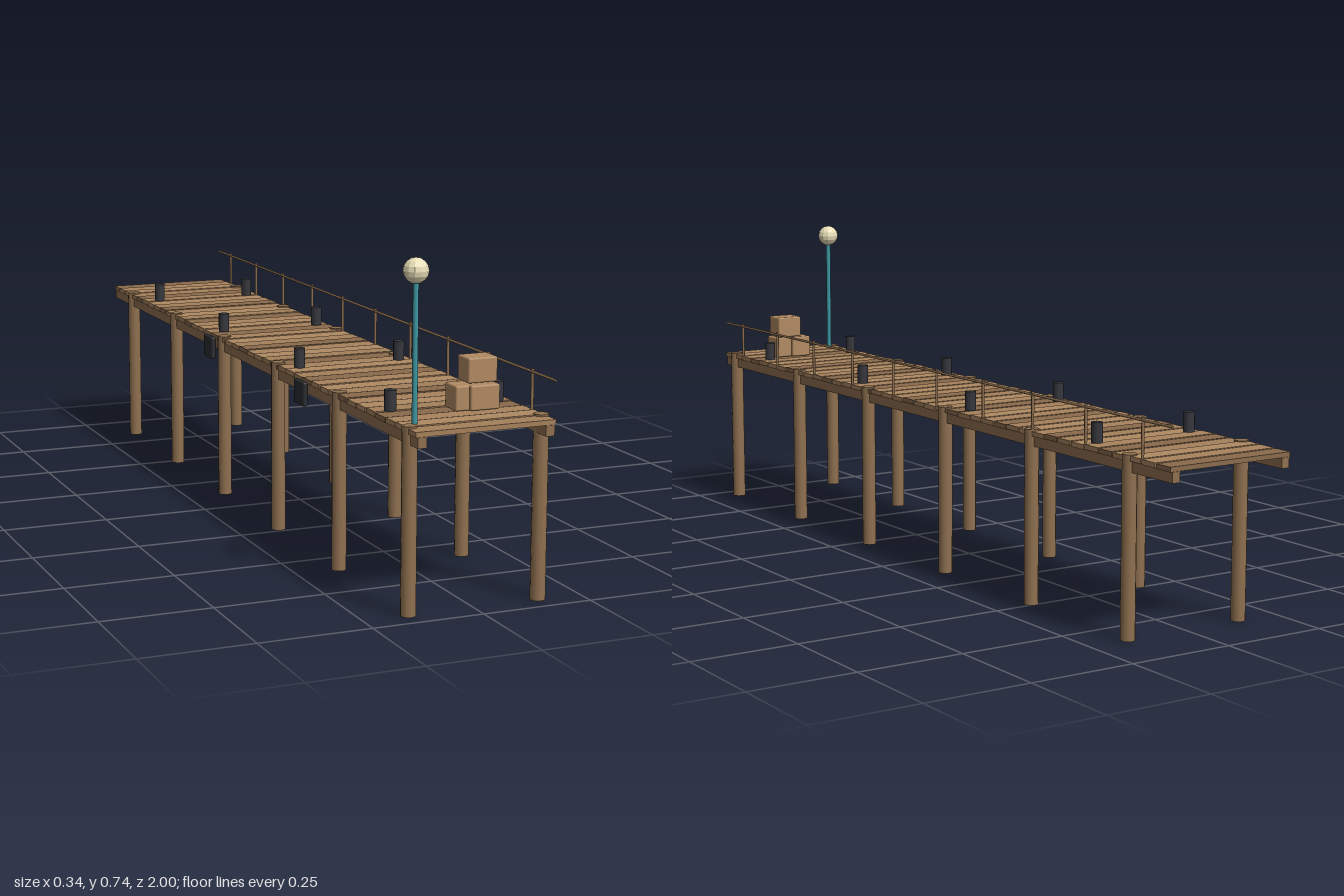
import * as THREE from 'three';
import { RoundedBoxGeometry } from 'three/addons/geometries/RoundedBoxGeometry.js';

const paint = (color, flatShading = false) => new THREE.MeshStandardMaterial({ color, flatShading });

export function createModel() {
  const pier = new THREE.Group();
  pier.name = 'pier';
  const plankMats = [0x8a6a4c, 0xa9845e, 0xb08a64, 0xa5815c].map((c) => paint(c));
  const wood = paint(0x8f7050);
  const crateWood = paint(0xb08a62);
  const iron = paint(0x36373d);
  const rubber = paint(0x2b2c30);
  const teal = paint(0x3f98a3);
  const glow = paint(0xeadfb8, true);

  const add = (name, geometry, material, x, y, z) => {
    const mesh = new THREE.Mesh(geometry, material);
    mesh.name = name;
    mesh.position.set(x, y, z);
    pier.add(mesh);
    return mesh;
  };

  // Deck planks, slightly uneven in height and tone
  const plank = new THREE.BoxGeometry(0.318, 0.011, 0.046);
  for (let i = 0; i < 40; i++) {
    add('plank', plank, plankMats[i % 4], 0.001, 0.3905 + (i % 3) * 0.0008, -0.975 + i * 0.05);
  }

  // Beams under both long edges, and the piles that carry them
  const beam = new THREE.BoxGeometry(0.02, 0.023, 2);
  const pile = new THREE.CylinderGeometry(0.0165, 0.0165, 0.4, 12);
  const bollard = new THREE.CylinderGeometry(0.013, 0.013, 0.045, 12);
  for (const side of [-1, 1]) {
    add('beam', beam, wood, 0.001 + side * 0.145, 0.3735, 0);
    for (let i = 0; i < 6; i++) {
      add('pile', pile, wood, 0.001 + side * 0.15, 0.2, 0.95 - i * 0.36);
    }
    for (let i = 0; i < 4; i++) {
      add('bollard', bollard, iron, 0.001 + side * 0.125, 0.4205, 0.8 - i * 0.5);
    }
  }

  // Railing along the left edge
  const railPost = new THREE.CylinderGeometry(0.0035, 0.0035, 0.095, 8);
  for (let i = 0; i < 10; i++) {
    add('railPost', railPost, wood, 0.156, 0.4375, 0.9 - i * 0.2);
  }
  add('handrail', new THREE.CylinderGeometry(0.003, 0.003, 2, 8), wood, 0.156, 0.478, 0).rotation.x = Math.PI / 2;

  // Fenders hung on the right edge
  const fender = new RoundedBoxGeometry(0.012, 0.056, 0.06, 2, 0.005);
  for (const z of [0.4, -0.2]) add('fender', fender, rubber, -0.162, 0.362, z);

  // Lamp at the front corner
  add('lampPole', new THREE.CylinderGeometry(0.006, 0.006, 0.297, 10), teal, -0.129, 0.5435, 0.93);
  add('lampGlobe', new THREE.SphereGeometry(0.027, 12, 8), glow, -0.129, 0.712, 0.93);

  // Stack of crates: width, height, depth, x, y, z
  [
    [0.054, 0.054, 0.054, 0.024, 0.425, 0.837],
    [0.068, 0.054, 0.054, 0.062, 0.425, 0.845],
    [0.068, 0.054, 0.054, 0.062, 0.481, 0.832],
  ].forEach(([w, h, d, x, y, z]) => {
    add('crate', new RoundedBoxGeometry(w, h, d, 2, 0.004), crateWood, x, y, z);
  });

  return pier;
}
